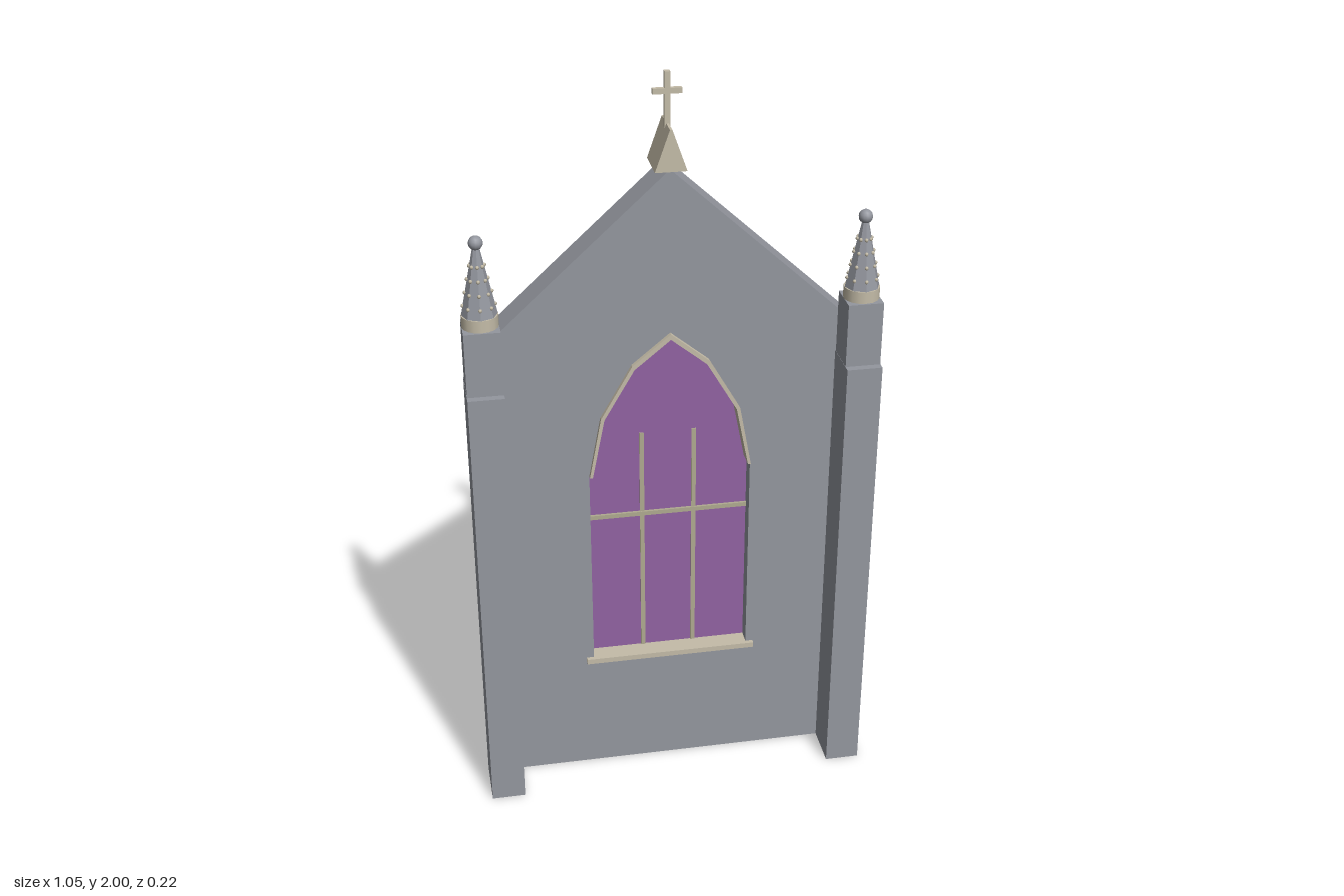
import * as THREE from 'three';

const mat = (name, color) => Object.assign(new THREE.MeshStandardMaterial({ color }), { name });

export function createModel() {
  const stone = mat('grey stone', 0x94979f);
  const trim = mat('pale trim', 0xc4bca8);
  const bars = mat('window bars', 0xb0ab90);
  const glass = mat('purple glass', 0x9163a2);

  const model = new THREE.Group();
  const add = (name, geometry, material, x = 0, y = 0, z = 0, parent = model) => {
    const mesh = new THREE.Mesh(geometry, material);
    mesh.name = name;
    mesh.position.set(x, y, z);
    parent.add(mesh);
    return mesh;
  };
  const box = (name, material, x0, x1, y0, y1, z0, z1, parent) =>
    add(name, new THREE.BoxGeometry(x1 - x0, y1 - y0, z1 - z0), material,
      (x0 + x1) / 2, (y0 + y1) / 2, (z0 + z1) / 2, parent);
  const slab = (name, shape, material, z0, z1) =>
    add(name, new THREE.ExtrudeGeometry(shape, { depth: z1 - z0, bevelEnabled: false }), material, 0, 0, z0);
  const points = (list) => list.map(([x, y]) => new THREE.Vector2(x, y));
  const mirrored = (half) => [...half, ...half.slice(0, -1).reverse().map(([x, y]) => [-x, y])];

  // Pointed arch, right half from springing to apex
  const arch = mirrored([[0.215, 0.94], [0.183, 1.11], [0.1, 1.255], [0, 1.337]]);
  const archInner = mirrored([[0.207, 0.94], [0.174, 1.107], [0.094, 1.245], [0, 1.322]]);
  const opening = points([[-0.215, 0.35], [0.215, 0.35], ...arch]);

  // Gabled wall with the window cut through
  const wall = new THREE.Shape(points([[-0.515, 0], [0.515, 0], [0.515, 1.297], [0, 1.77], [-0.515, 1.297]]));
  wall.holes.push(new THREE.Path(opening));
  slab('gableWall', wall, stone, -0.1, -0.01);

  // Window: glass, arch moulding, sill and bars
  slab('windowGlass', new THREE.Shape(opening), glass, -0.06, -0.05);
  slab('archMoulding', new THREE.Shape(points([...arch, ...archInner.reverse()])), trim, -0.112, 0.002);
  box('windowSill', trim, -0.235, 0.235, 0.345, 0.36, -0.115, 0.002);
  for (const x of [-0.07, 0.07]) box('mullion', bars, x - 0.006, x + 0.006, 0.36, 1.035, -0.064, -0.046);
  box('transom', bars, -0.215, 0.215, 0.784, 0.796, -0.067, -0.043);

  // Ridge block and cross
  slab('ridgeBlock', new THREE.Shape(points([[-0.04, 1.768], [0.04, 1.768], [0.003, 1.873], [-0.003, 1.873]])),
    trim, -0.108, 0.004);
  box('crossPost', trim, -0.007, 0.007, 1.86, 2, -0.06, -0.046);
  box('crossArm', trim, -0.036, 0.036, 1.945, 1.959, -0.059, -0.047);

  // Stepped buttresses, each with a pinnacle
  const coneBase = 1.45, coneTop = 1.622, baseRadius = 0.045, topRadius = 0.009;
  for (const side of [-1, 1]) {
    const buttress = new THREE.Group();
    buttress.name = side > 0 ? 'leftButtress' : 'rightButtress';
    buttress.position.x = side * 0.48;
    model.add(buttress);
    box('lowerShaft', stone, -0.046, 0.046, 0, 1.25, -0.027, 0.11, buttress);
    box('upperShaft', stone, -0.0455, 0.0455, 1.25, 1.42, -0.005, 0.09, buttress);
    add('collar', new THREE.CylinderGeometry(0.046, 0.046, 0.032, 16), trim, 0, 1.435, 0.04, buttress);
    const spire = new THREE.CylinderGeometry(topRadius, baseRadius, coneTop - coneBase, 8).toNonIndexed();
    spire.computeVertexNormals();
    add('spire', spire, stone, 0, (coneBase + coneTop) / 2, 0.04, buttress);
    add('finial', new THREE.SphereGeometry(0.018, 12, 8), stone, 0, 1.636, 0.04, buttress);

    // Crockets climbing the spire's edges
    const bead = new THREE.SphereGeometry(0.005, 6, 5);
    for (let level = 0; level < 4; level++) {
      const t = 0.15 + level * 0.2;
      const r = THREE.MathUtils.lerp(baseRadius, topRadius, t);
      for (let i = 0; i < 8; i++) {
        const a = (i * Math.PI) / 4;
        add('crocket', bead, trim, r * Math.sin(a),
          THREE.MathUtils.lerp(coneBase, coneTop, t), 0.04 + r * Math.cos(a), buttress);
      }
    }
  }
  return model;
}
